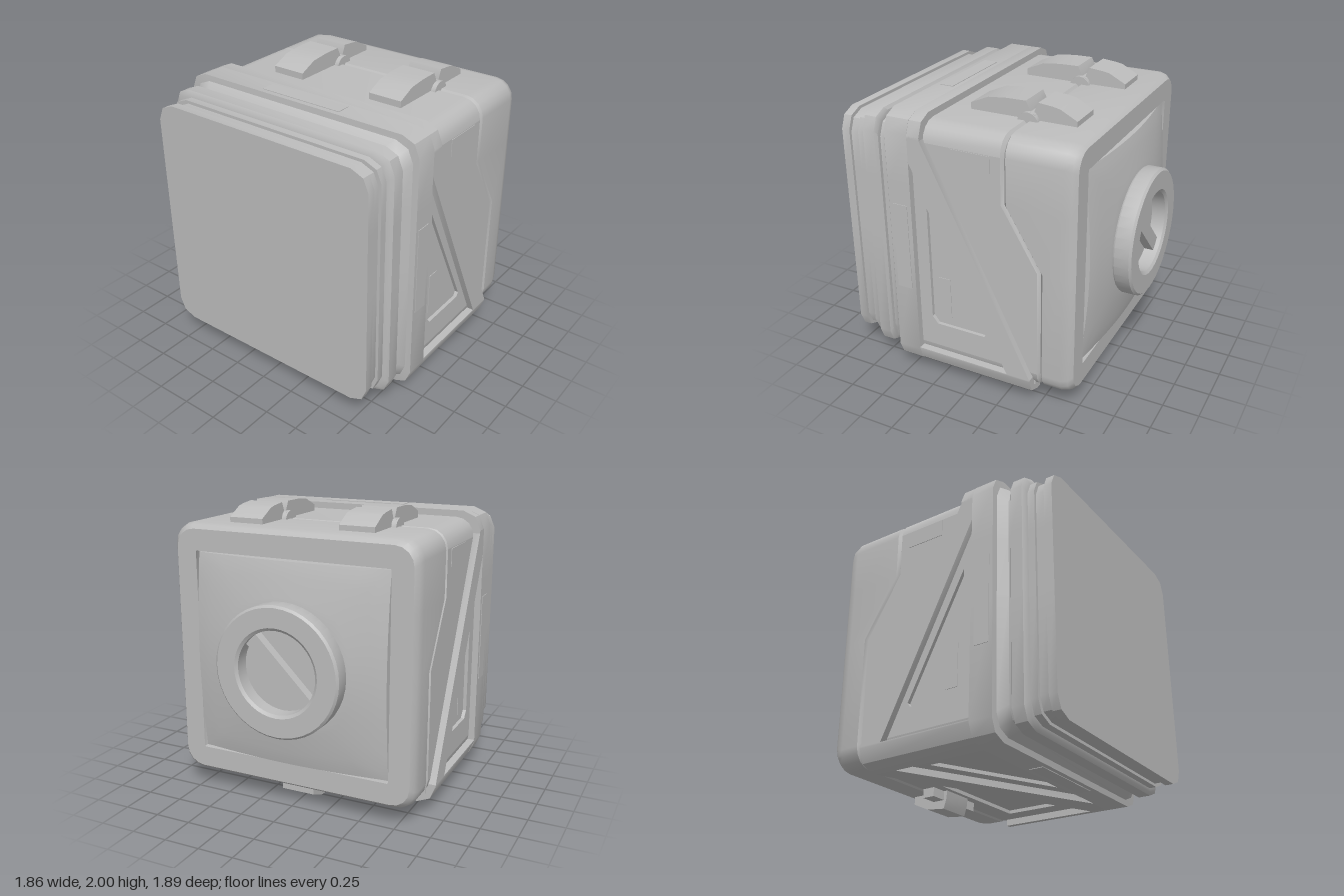
import * as THREE from 'three';
import { toCreasedNormals } from 'three/addons/utils/BufferGeometryUtils.js';

const MID = 1.005; // height of the box centre line
const grey = new THREE.MeshStandardMaterial({ color: 0xbcbcbc });
grey.name = 'grey shell';

// Rounded square cross-section; z is a number or a function of height
function ring(h, r, z, n) {
  const pts = [];
  const add = (x, y) => pts.push(new THREE.Vector3(x, y, typeof z === 'function' ? z(y) : z));
  const corner = (sx, sy, start) => {
    for (let i = 0; i <= n; i++) {
      const a = start + (i / n) * Math.PI / 2;
      add(sx * (h - r) + r * Math.cos(a), MID + sy * (h - r) + r * Math.sin(a));
    }
  };
  corner(1, -1, -Math.PI / 2);
  add(h, 1.02); add(h, 1.44);
  corner(1, 1, 0);
  corner(-1, 1, Math.PI / 2);
  add(-h, 1.44); add(-h, 1.02);
  corner(-1, -1, Math.PI);
  return pts;
}

// Skin between rings ordered front to back
function loft(rings, { front = false, back = false, skip = () => false } = {}) {
  const pos = [];
  const tri = (...v) => v.forEach(p => pos.push(p.x, p.y, p.z));
  const n = rings[0].length;
  for (let k = 0; k < rings.length - 1; k++) {
    for (let i = 0; i < n; i++) {
      const j = (i + 1) % n, A = rings[k], B = rings[k + 1];
      if (skip(k, A[i], A[j])) continue;
      tri(A[i], B[i], B[j]);
      tri(A[i], B[j], A[j]);
    }
  }
  const cap = (R, flip) => {
    const c = new THREE.Vector3(0, MID, R[0].z);
    R.forEach((p, i) => {
      const q = R[(i + 1) % n];
      flip ? tri(c, q, p) : tri(c, p, q);
    });
  };
  if (front) cap(rings[0], false);
  if (back) cap(rings[rings.length - 1], true);
  const g = new THREE.BufferGeometry();
  g.setAttribute('position', new THREE.Float32BufferAttribute(pos, 3));
  return g;
}

function prism(points, depth, holes = []) {
  const v = list => list.map(p => new THREE.Vector2(p[0], p[1]));
  const s = new THREE.Shape(v(points));
  holes.forEach(h => s.holes.push(new THREE.Path(v(h))));
  return new THREE.ExtrudeGeometry(s, { depth, bevelEnabled: false });
}
// Points are [z, y], spanning x0 to x1
function sidePrism(points, x0, x1, holes = []) {
  const f = l => l.map(([z, y]) => [-z, y]);
  return prism(f(points), x1 - x0, holes.map(f)).rotateY(Math.PI / 2).translate(x0, 0, 0);
}
// Points are [x, z], spanning y0 to y1
function floorPrism(points, y0, y1, holes = []) {
  return prism(points, y1 - y0, holes).rotateX(Math.PI / 2).translate(0, y1, 0);
}
function block(x0, x1, y0, y1, z0, z1) {
  return new THREE.BoxGeometry(x1 - x0, y1 - y0, z1 - z0)
    .translate((x0 + x1) / 2, (y0 + y1) / 2, (z0 + z1) / 2);
}

export function createModel() {
  const model = new THREE.Group();
  model.name = 'case';
  const add = (name, geo, parent = model) => {
    const m = new THREE.Mesh(toCreasedNormals(geo, 0.6), grey);
    m.name = name;
    parent.add(m);
    return m;
  };

  // Front lid with stepped flanges and the thick band behind it
  const lid = [[.948, .845], [.89, .845], [.89, .825], [.82, .825], [.82, .845], [.77, .845],
    [.765, .865], [.75, .885], [.665, .885], [.65, .865], [.65, .84], [.62, .84],
    [.56, .885], [.555, .925], [.39, .925]];
  add('frontLid', loft(lid.map(([z, h]) => ring(h, .125, z, 2)), { front: true, back: true }));

  // Stepped seam between the two body halves
  const seam = y => y >= 1.44 ? -.26 : y <= 1.02 ? -.51 : -.51 + .25 * (y - 1.02) / .42;
  const H = .88, R = .13;
  const edge = y => seam(y) + .018;

  // Front half: rounded edges, with separate side and floor panels
  add('bodyFront', loft([ring(H, R, .45, 4), ring(H, R, edge, 4), ring(.86, R, seam, 4)], {
    skip: (k, a, b) => k === 0 &&
      (Math.abs(a.x - b.x) < 1e-6 || (a.y < .3 && Math.abs(a.y - b.y) < 1e-6)),
  }));
  const lo = MID - H + R, hi = MID + H - R;
  const panel = [[.45, lo], [.45, hi], [edge(hi), hi], [edge(1.44), 1.44], [edge(1.02), 1.02], [edge(lo), lo]];
  const sideHole = [[.30, 1.30], [.30, .48], [.26, .43], [-.10, .43], [-.12, .46]];
  const floorHoles = [
    [[-.62, .30], [-.62, -.13], [.25, .30]],
    [[.62, -.34], [.62, .12], [-.30, -.34]],
  ];
  const f = H - R, bottom = MID - H;
  add('floorPanel', floorPrism([[-f, .45], [f, .45], [f, edge(.2)], [-f, edge(.2)]], bottom, bottom + .04, floorHoles));
  add('recessFloor', block(-.855, .855, .15, 1.7, -.25, .45));
  add('recessFloorLower', block(-.855, .855, .15, 1.02, -.47, -.25));

  // Rear half, ending in a square opening
  add('bodyRear', loft([ring(.86, R, seam, 4), ring(H, R, y => seam(y) - .018, 4), ring(H, R, -.66, 4),
    ring(.868, R, -.71, 4), ring(.845, R, -.74, 4), ring(.70, .01, -.74, 4), ring(.70, .01, -.70, 4)], { back: true }));

  // Raised top band, carried over the upper corners
  const arch = [[.925, 1.78], [.925, 1.80], [.887, 1.892], [.80, 1.93]];
  const inner = [[.76, 1.86], [.86, 1.78]];
  const flip = l => l.map(([x, y]) => [-x, y]).reverse();
  add('topBand', prism([...arch, ...flip(arch), ...flip(inner), ...inner], .09).translate(0, 0, .30));

  // Side frames, lower rails, panels and plates
  const bar = [[.39, 1.80], [.30, 1.80], [.30, 1.78], [-.46, .22], [-.29, .22], [.39, 1.62]];
  const rail = [[.925, .22], [.925, .21], [.887, .118], [.80, .08], [.76, .08], [.76, .14], [.86, .22]];
  for (const s of [1, -1]) {
    const side = new THREE.Group();
    side.name = s > 0 ? 'leftSide' : 'rightSide';
    model.add(side);
    const span = (a, b) => s > 0 ? [a, b] : [-b, -a];
    add('sidePanel', sidePrism(panel, ...span(.84, H), [sideHole]), side);
    add('diagonalBar', sidePrism(bar, ...span(.86, .925)), side);
    add('lowerRail', prism(rail.map(([x, y]) => [s * x, y]), .85).translate(0, 0, -.46), side);
    add('bandPlate', block(...span(.92, .929), .69, 1.31, .42, .53), side);
    add('recessPlate', block(...span(.85, .859), .49, .79, .16, .25), side);
    add('upperPlate', block(...span(.875, .884), 1.63, 1.75, -.17, .11), side);
  }
  add('floorBar', floorPrism([[.77, .39], [.77, .28], [-.77, -.46], [-.77, -.30], [.60, .39]], .08, .14));
  add('topPlate', block(-.31, .31, 1.925, 1.934, .42, .52));
  add('bottomPlate', block(-.31, .31, .076, .085, .42, .52));

  // Domed back panel, blending from a square to a circle
  const N = 48, dome = [];
  for (let k = -1; k <= 6; k++) {
    const t = Math.max(k, 0) / 6, pts = [];
    for (let i = 0; i < N; i++) {
      const a = (i / N) * Math.PI * 2, c = Math.cos(a), s = Math.sin(a);
      const sq = .69 / Math.max(Math.abs(c), Math.abs(s));
      const z0 = -.765 + .05 * (sq / .69 - 1) / .414;
      const r = sq + (.42 - sq) * t;
      const z = k < 0 ? -.70 : z0 + (-.822 - z0) * Math.pow(t, .85);
      pts.push(new THREE.Vector3(r * c, MID + r * s, z));
    }
    dome.push(pts);
  }
  add('backPanel', loft(dome, { back: true }));

  // Round dial with a slanted grip bar
  const profile = [[.425, .80], [.445, .83], [.445, .93], [.43, .945], [.30, .945], [.28, .93], [.28, .835], [0, .835]];
  add('dialRing', new THREE.LatheGeometry(profile.map(p => new THREE.Vector2(...p)), 40)
    .rotateX(-Math.PI / 2).translate(0, MID, 0));
  add('dialBar', new THREE.BoxGeometry(.58, .10, .07).rotateZ(Math.PI / 4).translate(0, MID, -.865));

  // Two top latches, each with a hinge between its halves
  const latchFront = [[.155, 1.87], [.155, 1.93], [.03, 1.985], [-.10, 1.998], [-.235, 2], [-.27, 1.93], [-.27, 1.87]];
  const latchRear = [[-.585, 1.87], [-.585, 1.92], [-.47, 1.98], [-.42, 1.99], [-.32, 2], [-.29, 1.93], [-.29, 1.87]];
  const ear = [];
  for (let i = 0; i <= 8; i++) {
    const a = (i / 8) * Math.PI;
    ear.push([-.265 + .073 * Math.cos(a), 1.868 + .072 * Math.sin(a)]);
  }
  for (const x of [.4, -.4]) {
    const latch = new THREE.Group();
    latch.name = x > 0 ? 'leftLatch' : 'rightLatch';
    model.add(latch);
    add('latchFront', sidePrism(latchFront, x - .123, x + .123), latch);
    add('latchRear', sidePrism(latchRear, x - .123, x + .123), latch);
    add('hingeEar', sidePrism(ear, x - .16, x - .128), latch);
    add('hingeEar', sidePrism(ear, x + .128, x + .16), latch);
    add('hingePin', new THREE.CylinderGeometry(.045, .045, .3, 12)
      .rotateZ(Math.PI / 2).translate(x, 1.893, -.28), latch);
  }

  // Bottom catch with its bracket
  add('bottomCatch', sidePrism([[-.37, .14], [-.38, .06], [-.40, 0], [-.54, .015], [-.66, .07], [-.66, .14]], -.12, .12));
  add('catchBracket', block(-.235, .235, .062, .14, -.49, -.40));

  return model;
}
